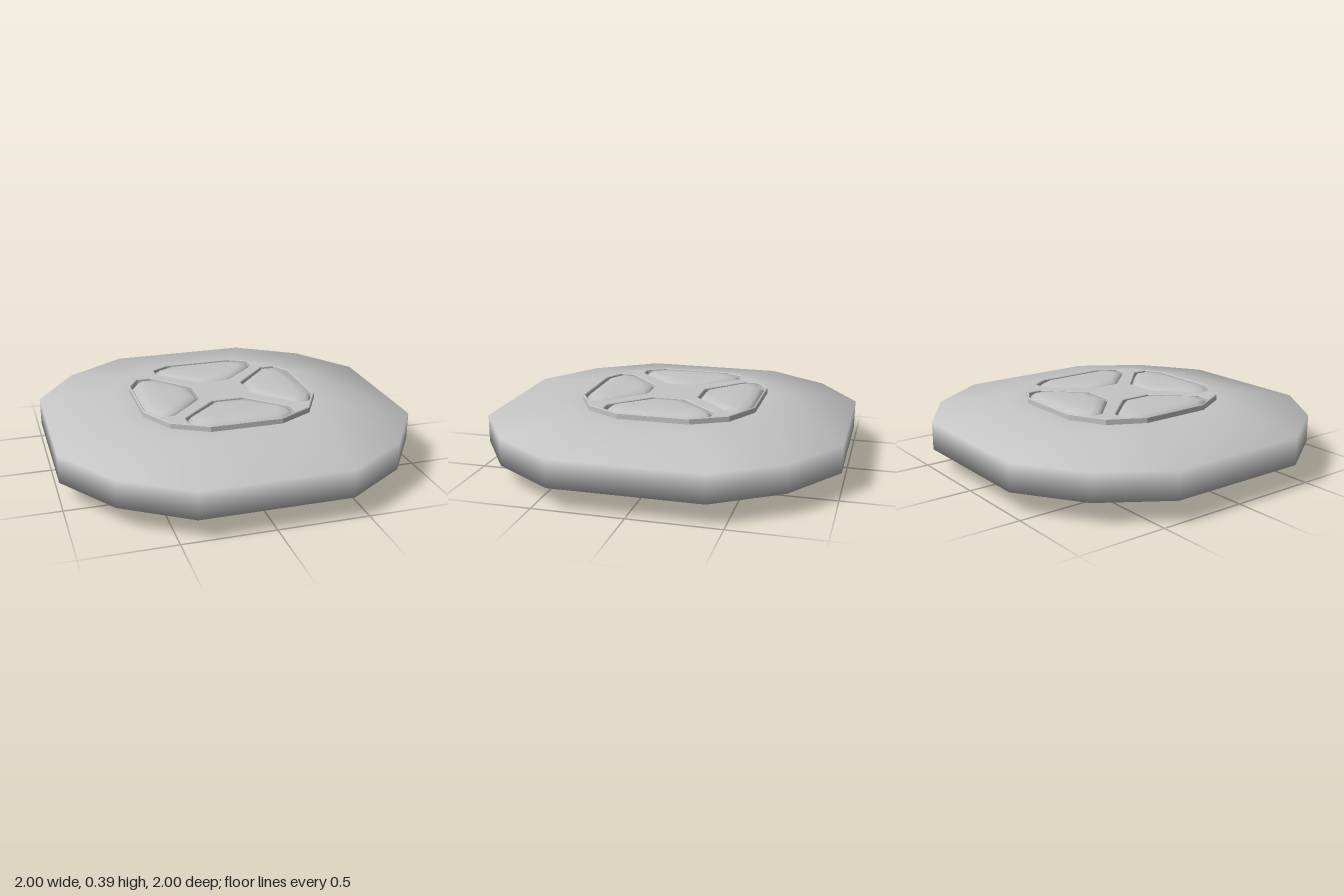
import * as THREE from 'three';

const grey = new THREE.MeshStandardMaterial({ color: 0xc4c4c4 });
grey.name = 'plain grey';

// Smooth skin over equal loops of [x, y, z], listed bottom to top, counter-clockwise from above
function skin(loops) {
  const n = loops[0].length, pos = loops.flat(2), idx = [];
  for (let i = 0; i < loops.length - 1; i++) {
    for (let j = 0; j < n; j++) {
      const k = (j + 1) % n, a = i * n + j, b = i * n + k;
      idx.push(a, b, b + n, a, b + n, a + n);
    }
  }
  // Close both ends with fans
  [0, loops.length - 1].forEach((l, end) => {
    const c = pos.length / 3;
    for (let d = 0; d < 3; d++) pos.push(loops[l].reduce((s, p) => s + p[d], 0) / n);
    for (let j = 0; j < n; j++) {
      const a = l * n + j, b = l * n + (j + 1) % n;
      if (end) idx.push(c, a, b); else idx.push(c, b, a);
    }
  });
  const g = new THREE.BufferGeometry();
  g.setAttribute('position', new THREE.Float32BufferAttribute(pos, 3));
  g.setIndex(idx);
  g.computeVertexNormals();
  return g;
}

function part(name, geometry) {
  const mesh = new THREE.Mesh(geometry, grey);
  mesh.name = name;
  return mesh;
}

// Repeat 2D points for each quarter turn
const turn = ([x, y], q) => [[x, y], [-y, x], [-x, -y], [y, -x]][q];
const quarters = (pts) => [0, 1, 2, 3].flatMap((q) => pts.map((p) => turn(p, q)));
const toVectors = (pts) => pts.map(([x, y]) => new THREE.Vector2(x, y));

// Twelve-sided plan of the disc, and the plan of one pad
const plan = quarters([[1, 0.41], [0.765, 0.765], [0.41, 1]]);
const padPlan = [[0.3, 0.35], [0.3, 0.43], [0.2, 0.488], [-0.2, 0.488],
  [-0.3, 0.43], [-0.3, 0.35], [-0.09, 0.15], [0.09, 0.15]];
const cross = quarters([[0.15, 0.09], [0.35, 0.3], [0.43, 0.3], [0.395, 0.395],
  [0.3, 0.43], [0.3, 0.35], [0.09, 0.15]]);

function extrudeUp(shape) {
  const bevel = 0.004;
  const g = new THREE.ExtrudeGeometry(shape, {
    depth: 0.034 - bevel, bevelEnabled: true, bevelSize: bevel,
    bevelThickness: bevel, bevelOffset: -bevel, bevelSegments: 1,
  });
  return g.rotateX(-Math.PI / 2).translate(0, 0.345, 0);
}

// Four domed pads around the hub
function addPads(group) {
  const rings = [[0.98, 0.98, 0.335], [0.96, 0.95, 0.36], [0.88, 0.84, 0.379], [0.7, 0.56, 0.389]];
  const geometry = skin(rings.map(([sx, sz, y]) =>
    padPlan.map(([x, z]) => [x * sx, y, -(0.32 + (z - 0.32) * sz)])));
  for (let q = 0; q < 4; q++) {
    const pad = part('hubPad', geometry);
    pad.rotation.y = q * Math.PI / 2;
    group.add(pad);
  }
}

export function createModel() {
  const model = new THREE.Group();
  model.name = 'wheelDisc';

  // Main body, tapering to a thin rim
  const profile = [[0.5, 0.045], [0.6, 0.05], [1, 0.12], [1, 0.275], [0.6, 0.345], [0.5, 0.347]];
  model.add(part('discBody', skin(profile.map(([r, y]) =>
    plan.map(([x, z]) => [x * r, y, -z * r])))));

  // Upper hub: ring and cross in one frame
  const upper = new THREE.Group();
  upper.name = 'upperHub';
  const frame = new THREE.Shape(toVectors(quarters([[0.5, 0.2], [0.395, 0.395], [0.2, 0.5]])));
  for (let q = 0; q < 4; q++) {
    frame.holes.push(new THREE.Path(toVectors(padPlan.map((p) => turn(p, q)))));
  }
  upper.add(part('hubFrame', extrudeUp(frame)));
  addPads(upper);

  // Lower hub: open cross without a ring
  const lower = new THREE.Group();
  lower.name = 'lowerHub';
  lower.add(part('hubCross', extrudeUp(new THREE.Shape(toVectors(cross)))));
  addPads(lower);
  lower.rotation.x = Math.PI;
  lower.position.y = 0.389;

  model.add(upper, lower);
  return model;
}
